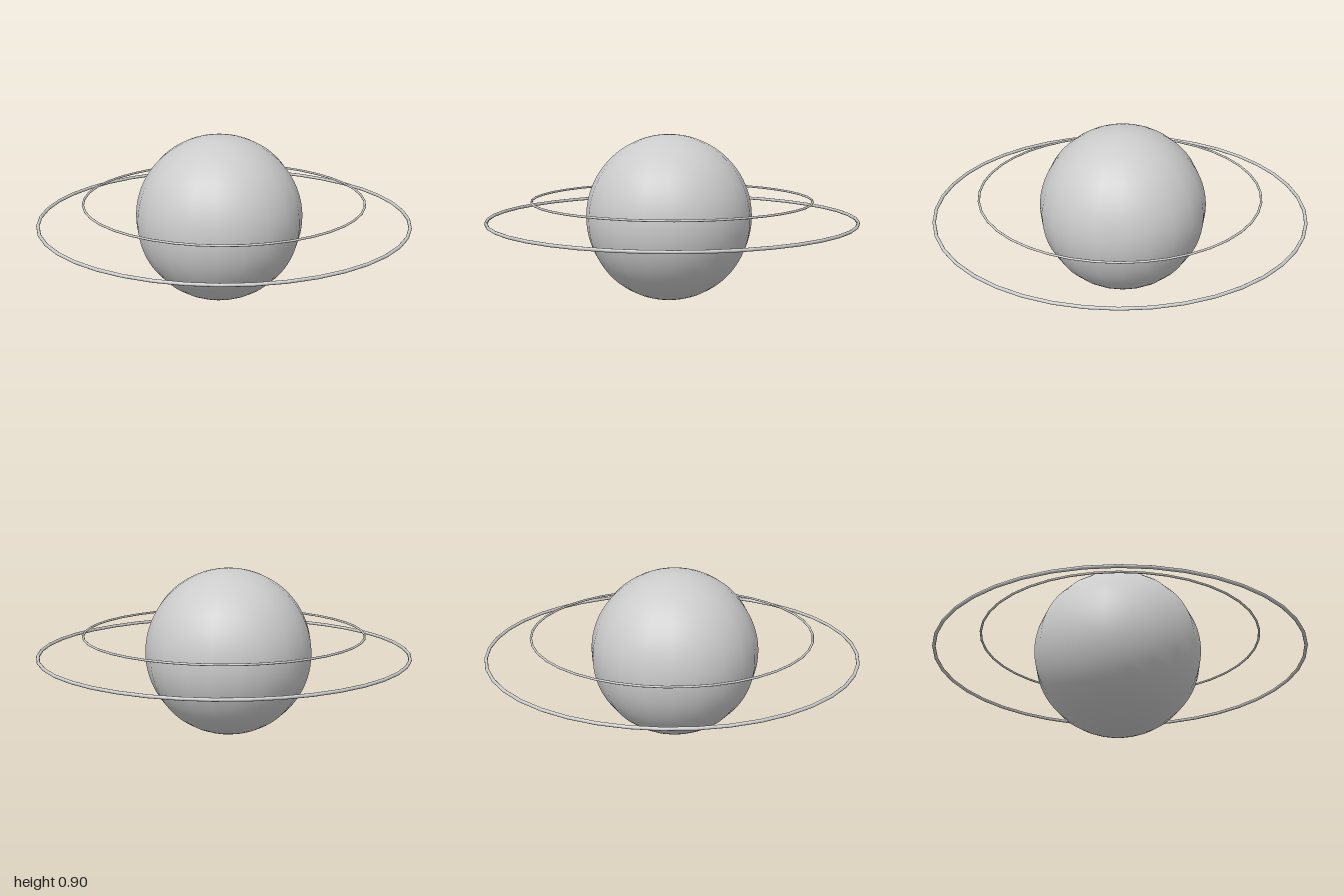
import * as THREE from 'three';

export function createModel() {
  const model = new THREE.Group();
  const material = new THREE.MeshStandardMaterial({ color: 0xcccccc });

  // Planet, slightly off the centre of the rings
  const planet = new THREE.Mesh(new THREE.SphereGeometry(0.448, 20, 48), material);
  planet.name = 'planet';
  planet.position.set(-0.025, 0.448, -0.008);
  model.add(planet);

  // Thin level rings around the planet
  function addRing(name, outerRadius, tube, y) {
    const geometry = new THREE.TorusGeometry(outerRadius - tube, tube, 10, 40);
    geometry.rotateX(-Math.PI / 2);
    const ring = new THREE.Mesh(geometry, material);
    ring.name = name;
    ring.position.y = y;
    model.add(ring);
  }
  addRing('outerRing', 1, 0.009, 0.44);
  addRing('innerRing', 0.757, 0.006, 0.545);

  return model;
}
